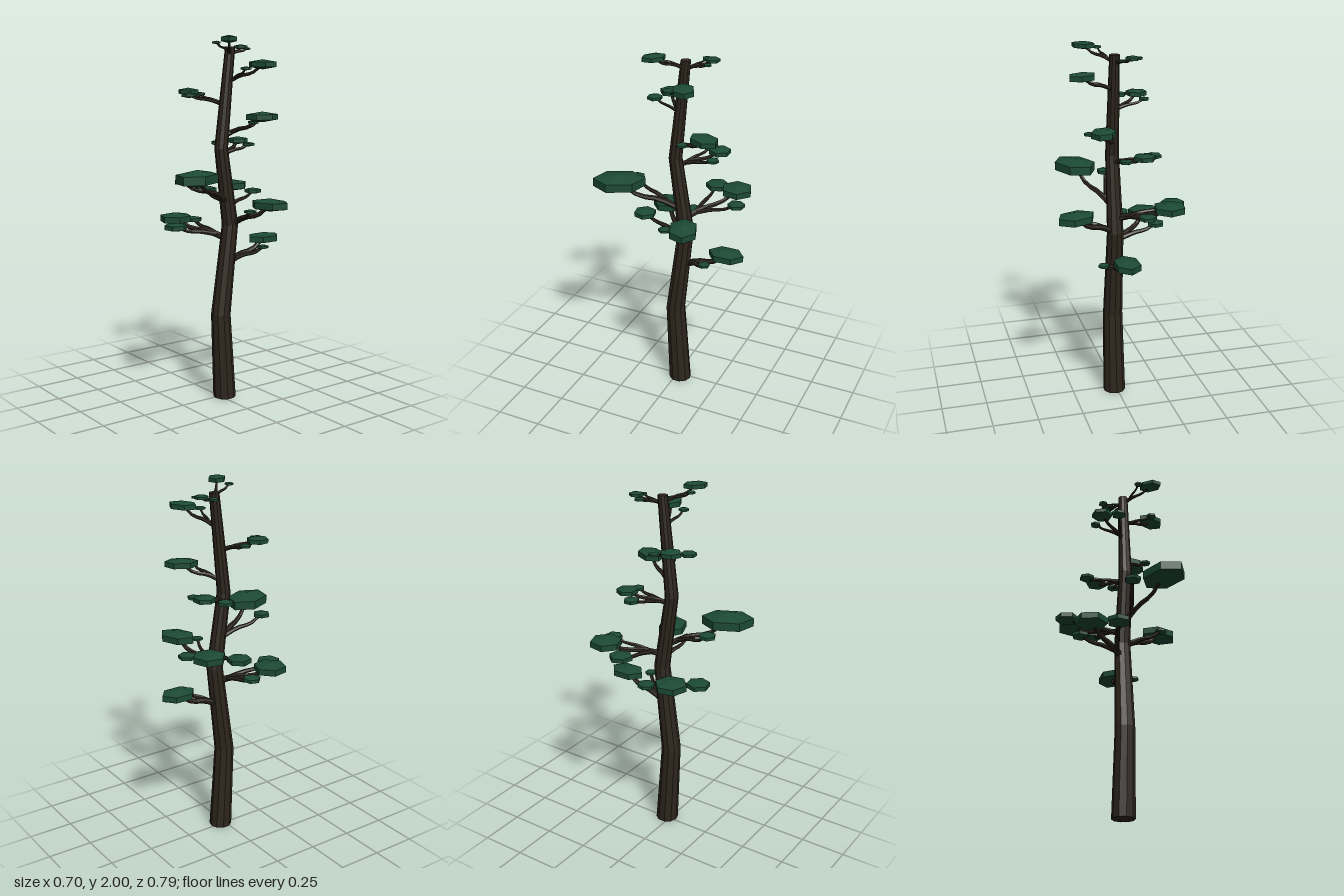
import * as THREE from 'three';

const bark = new THREE.MeshStandardMaterial({ color: 0x2e261d, flatShading: true, side: THREE.DoubleSide });
const leaf = new THREE.MeshStandardMaterial({ color: 0x1c4a35, flatShading: true });

// Bends of the trunk's centre line: height, z
const bends = [[0, -0.024], [0.48, 0.003], [0.98, -0.058], [1.4, 0.003], [1.94, -0.055]];
const trunkRadius = (y) => 0.063 - 0.0186 * y;

// Boughs from bottom to top. pad: x, y, z, radius of the main pad. twigs: x, z, radius of the side pads
const boughs = [
  { pad: [0.014, 0.877, -0.296, 0.099], twigs: [[0.118, -0.21, 0.031]] },
  { pad: [-0.207, 1.003, 0.15, 0.088], twigs: [[-0.078, 0.237, 0.063], [-0.234, 0.01, 0.047]] },
  { pad: [0.25, 1.107, -0.147, 0.108], twigs: [[0.23, -0.03, 0.032]] },
  { pad: [-0.226, 1.155, -0.256, 0.087], twigs: [[-0.093, -0.304, 0.047], [-0.288, -0.112, 0.063]] },
  { pad: [0.163, 1.27, 0.265, 0.139], twigs: [[-0.003, 0.242, 0.046]] },
  { pad: [-0.103, 1.425, -0.2, 0.058], twigs: [[-0.176, -0.12, 0.042], [-0.003, -0.2, 0.034]] },
  { pad: [0.115, 1.566, -0.2, 0.088], twigs: [[0.165, -0.1, 0.029]] },
  { pad: [-0.143, 1.7, 0.104, 0.057], twigs: [[-0.06, 0.158, 0.041], [-0.16, 0.015, 0.029]] },
  { pad: [0.206, 1.847, -0.127, 0.08], twigs: [[0.184, -0.033, 0.028]] },
  { pad: [-0.043, 1.938, -0.175, 0.037], twigs: [[-0.084, -0.127, 0.026], [0.016, -0.173, 0.02]] },
  { pad: [0.156, 1.976, 0.056, 0.065], twigs: [[0.078, 0.08, 0.023]] },
];

// Point on the trunk's centre line at a height
function trunkAt(y) {
  let i = 0;
  while (i < bends.length - 2 && y > bends[i + 1][0]) i++;
  const [y0, z0] = bends[i], [y1, z1] = bends[i + 1];
  return new THREE.Vector3(0.013 + 0.003 * y, y, z0 + (z1 - z0) * (y - y0) / (y1 - y0));
}

function makeTrunk() {
  const rows = bends.length - 1;
  const g = new THREE.CylinderGeometry(1, 1, 1, 10, rows);
  const p = g.attributes.position;
  for (let i = 0; i < p.count; i++) {
    const c = trunkAt(bends[Math.round((p.getY(i) + 0.5) * rows)][0]);
    const r = trunkRadius(c.y);
    p.setXYZ(i, c.x + p.getX(i) * r, c.y, c.z + p.getZ(i) * r);
  }
  g.computeVertexNormals();
  const mesh = new THREE.Mesh(g, bark);
  mesh.name = 'trunk';
  return mesh;
}

// Rising, slightly stepped path from a root to a pad
function limbCurve(from, to) {
  const at = (t, rise) => new THREE.Vector3(
    from.x + (to.x - from.x) * t, from.y + (to.y - from.y) * rise, from.z + (to.z - from.z) * t);
  return new THREE.CatmullRomCurve3([from, at(0.38, 0.38), at(0.7, 0.52), at(0.88, 0.8), to]);
}

// Tapered tube along a curve
function makeLimb(curve, r0, r1, name) {
  const steps = 7, sides = 6;
  const g = new THREE.TubeGeometry(curve, steps, 1, sides);
  const p = g.attributes.position, v = new THREE.Vector3();
  for (let i = 0; i < p.count; i++) {
    const t = Math.floor(i / (sides + 1)) / steps;
    const c = curve.getPointAt(t);
    v.fromBufferAttribute(p, i).sub(c).multiplyScalar(r0 + (r1 - r0) * t).add(c);
    p.setXYZ(i, v.x, v.y, v.z);
  }
  const mesh = new THREE.Mesh(g, bark);
  mesh.name = name;
  return mesh;
}

// Flat six-sided foliage pad, one corner pointing away from the root
const padGeometry = new THREE.SphereGeometry(1, 6, 3);
padGeometry.scale(1 / Math.sin(Math.PI / 3), 1, 1 / Math.sin(Math.PI / 3));

function makePad(tip, root, along, across) {
  const mesh = new THREE.Mesh(padGeometry, leaf);
  mesh.position.copy(tip);
  mesh.scale.set(along, 0.19 * (along + across), across);
  mesh.rotation.y = -Math.atan2(tip.z - root.z, tip.x - root.x);
  mesh.name = 'foliagePad';
  return mesh;
}

// Bigger pads grow on longer rises and sit higher above their side twigs
function makeBough({ pad: [x, y, z, size], twigs }) {
  const bough = new THREE.Group();
  bough.name = 'bough';
  const tip = new THREE.Vector3(x, y, z);
  const root = trunkAt(y - 1.2 * size);
  const r = 0.028 - 0.0088 * root.y;
  const main = limbCurve(root, tip);
  bough.add(makeLimb(main, r, r * 0.5, 'branch'));
  // Main pads on the left side are elongated
  bough.add(makePad(tip, root, size, x > 0 ? size * 0.72 : size));

  const fork = main.getPointAt(0.2);
  for (const [tx, tz, ts] of twigs) {
    const end = new THREE.Vector3(tx, y - 0.26 * size, tz);
    bough.add(makeLimb(limbCurve(fork, end), r * 0.75, r * 0.4, 'twig'));
    bough.add(makePad(end, root, ts, ts));
  }
  return bough;
}

export function createModel() {
  const tree = new THREE.Group();
  tree.name = 'tree';
  tree.add(makeTrunk(), ...boughs.map(makeBough));
  return tree;
}
